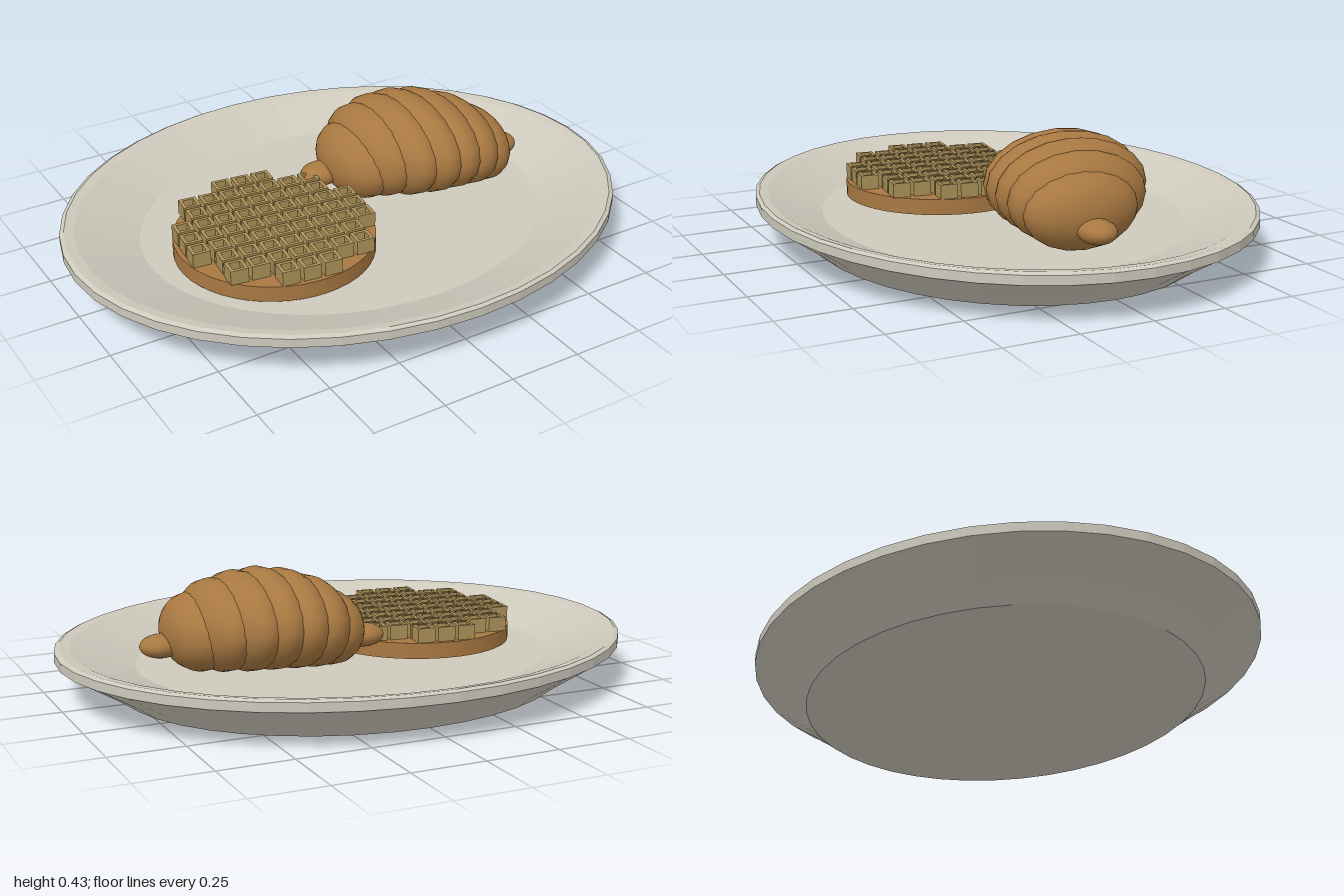
import * as THREE from 'three';

const material = (name, color, flatShading = false) => {
  const m = new THREE.MeshStandardMaterial({ color, flatShading });
  m.name = name;
  return m;
};

export function createModel() {
  const ceramic = material('ceramic', 0xcdc9bc, true);
  const crust = material('crust', 0xa87841);
  const batter = material('batter', 0xab9058);

  const model = new THREE.Group();
  model.name = 'breakfastPlate';
  const add = (parent, name, geometry, mat) => {
    const mesh = new THREE.Mesh(geometry, mat);
    mesh.name = name;
    parent.add(mesh);
    return mesh;
  };

  // Oval plate: underside, outer wall, rim, inner slope and floor in one profile
  const profile = [
    [0, 0], [0.785, 0], [0.85, 0.045], [0.985, 0.125], [1, 0.132], [1, 0.163],
    [0.985, 0.17], [0.95, 0.165], [0.73, 0.09], [0, 0.09],
  ].map(([x, y]) => new THREE.Vector2(x, y));
  add(model, 'plate', new THREE.LatheGeometry(profile, 40), ceramic).scale.z = 0.828;

  // Round waffle, turned slightly on the plate
  const waffle = new THREE.Group();
  waffle.name = 'waffle';
  waffle.position.set(-0.32, 0, 0.085);
  waffle.rotation.y = -0.115;
  model.add(waffle);
  add(waffle, 'waffleBase', new THREE.CylinderGeometry(0.342, 0.342, 0.055, 48), crust).position.y = 0.1275;

  // Raised square frames in a grid that follows the round base
  const square = (path, h) =>
    path.moveTo(-h, -h).lineTo(h, -h).lineTo(h, h).lineTo(-h, h).closePath();
  const frame = new THREE.Shape();
  square(frame, 0.031);
  const hole = new THREE.Path();
  square(hole, 0.019);
  frame.holes.push(hole);
  const frameGeometry = new THREE.ExtrudeGeometry(frame, { depth: 0.05, bevelEnabled: false });
  frameGeometry.rotateX(-Math.PI / 2);
  for (let i = -4; i <= 4; i++) {
    for (let j = -4; j <= 4; j++) {
      if (i * i + j * j > 18) continue;
      add(waffle, 'waffleFrame', frameGeometry, batter).position.set(i * 0.0735, 0.155, j * 0.0735);
    }
  }

  // Croissant: overlapping flattened rolls, largest in the middle
  const croissant = new THREE.Group();
  croissant.name = 'croissant';
  model.add(croissant);
  const ball = new THREE.SphereGeometry(1, 20, 24).rotateZ(Math.PI / 2);
  const rolls = [ // x, z, half length, half height, half width
    [0.12, -0.11, 0.12, 0.128, 0.195],
    [0.18, -0.105, 0.12, 0.152, 0.237],
    [0.25, -0.085, 0.12, 0.164, 0.271],
    [0.325, -0.068, 0.12, 0.168, 0.281],
    [0.4, -0.057, 0.12, 0.164, 0.274],
    [0.475, -0.035, 0.12, 0.152, 0.247],
    [0.54, -0.01, 0.115, 0.13, 0.2],
  ];
  for (const [x, z, rx, ry, rz] of rolls) {
    const roll = add(croissant, 'roll', ball, crust);
    roll.position.set(x, 0.095 + ry, z);
    roll.scale.set(rx, ry, rz);
  }

  // Pointed ends
  for (const [x, z] of [[-0.01, -0.14], [0.66, 0]]) {
    const tip = add(croissant, 'croissantTip', ball, crust);
    tip.position.set(x, 0.185, z);
    tip.scale.set(0.073, 0.04, 0.062);
  }

  return model;
}
